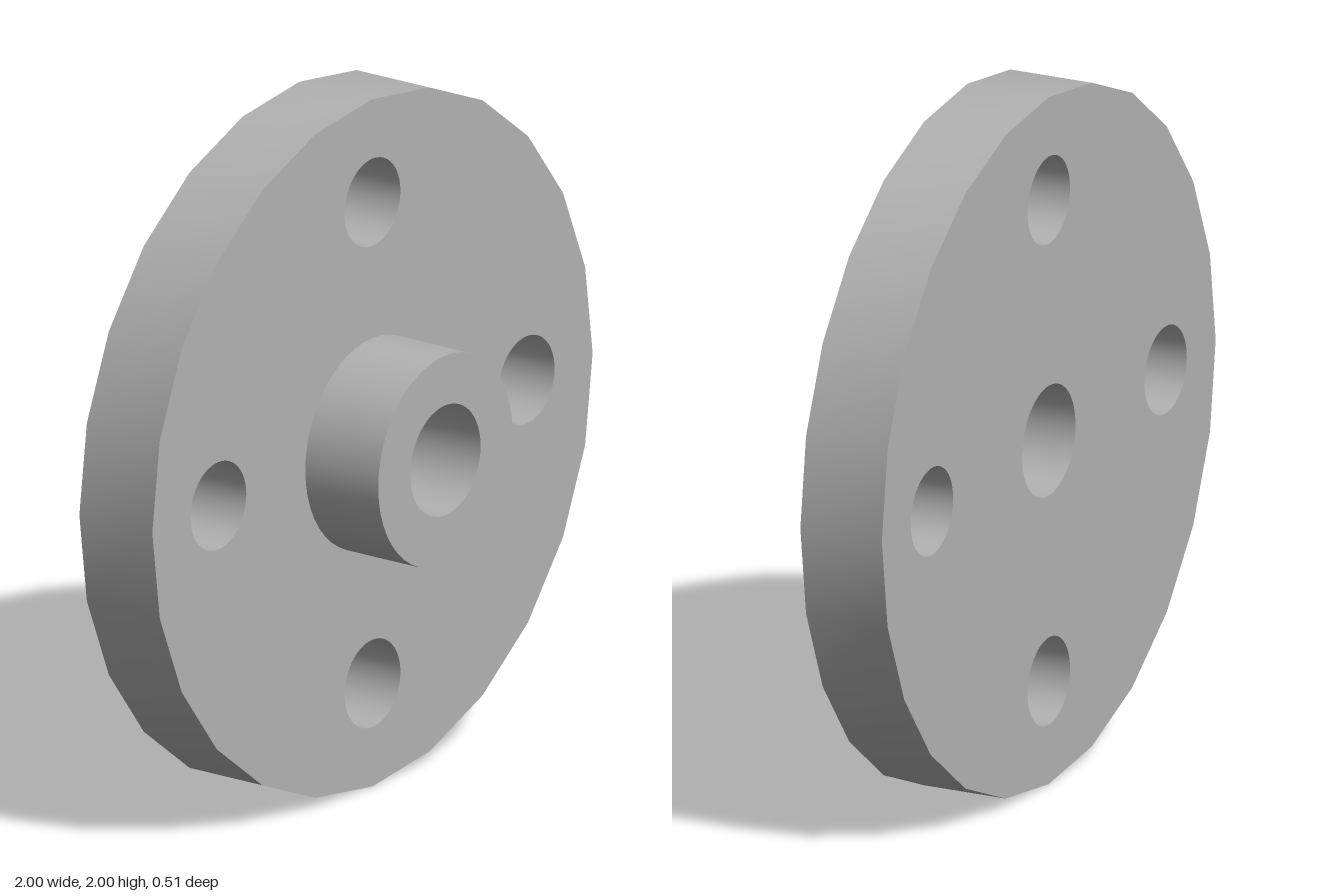
import * as THREE from 'three';
import { toCreasedNormals } from 'three/addons/utils/BufferGeometryUtils.js';

const THICK = 0.254;   // plate thickness and hub height
const BORE = 0.16;
const SEGMENTS = 48;   // roundness of bore, hub and bolt holes

// Regular polygon outline with a corner on +x
function ring(radius, sides, cx = 0, cy = 0) {
  return Array.from({ length: sides }, (_, i) => {
    const a = (i / sides) * Math.PI * 2;
    return new THREE.Vector2(cx + radius * Math.cos(a), cy + radius * Math.sin(a));
  });
}

export function createModel() {
  const group = new THREE.Group();
  group.name = 'flange';
  const steel = new THREE.MeshStandardMaterial({ color: 0xb2b2b2 });
  steel.name = 'grey steel';

  const add = (name, geometry) => {
    const mesh = new THREE.Mesh(toCreasedNormals(geometry, Math.PI / 6), steel);
    mesh.name = name;
    mesh.position.y = 1;
    group.add(mesh);
  };

  // 24-sided plate with a central bore and four bolt holes
  const outline = new THREE.Shape(ring(1, 24));
  outline.holes.push(new THREE.Path(ring(BORE, SEGMENTS)));
  for (const [x, y] of [[1, 0], [0, 1], [-1, 0], [0, -1]]) {
    outline.holes.push(new THREE.Path(ring(0.127, SEGMENTS, x * 0.7, y * 0.7)));
  }
  const plate = new THREE.ExtrudeGeometry(outline, { depth: THICK, bevelEnabled: false });
  plate.translate(0, 0, -THICK);
  add('plate', plate);

  // Hollow hub on the front, open where it meets the plate
  const profile = [[0.305, 0], [0.305, THICK], [BORE, THICK], [BORE, 0]];
  const hub = new THREE.LatheGeometry(profile.map(([r, h]) => new THREE.Vector2(r, h)), SEGMENTS);
  hub.rotateX(Math.PI / 2);
  add('hub', hub);

  return group;
}
